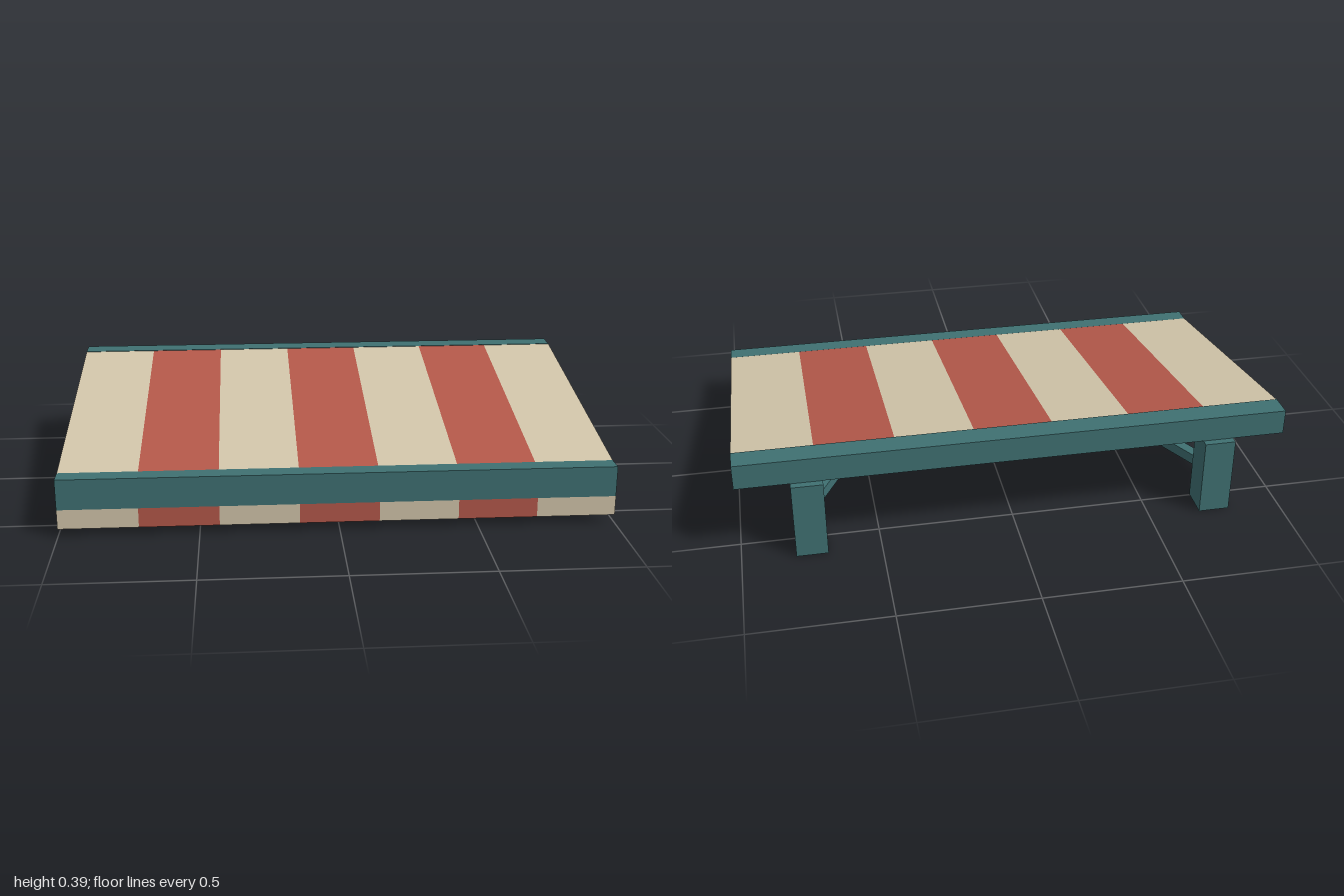
import * as THREE from 'three';

const paint = (color) => new THREE.MeshStandardMaterial({ color });

export function createModel() {
  const model = new THREE.Group();
  model.name = 'awning';
  const frame = paint(0x3f7072);
  const cream = paint(0xd2c5aa);
  const red = paint(0xb4584a);
  const brass = paint(0xa08050);

  const add = (name, geometry, material) => {
    const mesh = new THREE.Mesh(geometry, material);
    mesh.name = name;
    model.add(mesh);
    return mesh;
  };
  // Box given by its limits on each axis
  const box = (name, material, [x0, x1], [y0, y1], [z0, z1]) =>
    add(name, new THREE.BoxGeometry(x1 - x0, y1 - y0, z1 - z0), material)
      .position.set((x0 + x1) / 2, (y0 + y1) / 2, (z0 + z1) / 2);

  // Wall beam and front bar
  box('wallBeam', frame, [-1, 1], [0.293, 0.387], [-0.583, -0.495]);
  box('frontBar', frame, [-1, 1], [0.102, 0.215], [0.54, 0.61]);

  // Striped sloping canopy with a hanging valance
  const slope = new THREE.Shape([
    new THREE.Vector2(0.545, 0.196),
    new THREE.Vector2(0.545, 0.214),
    new THREE.Vector2(-0.5, 0.386),
    new THREE.Vector2(-0.5, 0.368),
  ]);
  const stripes = 7;
  const width = 2 / stripes;
  for (let i = 0; i < stripes; i++) {
    const x = -1 + i * width;
    const cloth = i % 2 ? red : cream;
    const geometry = new THREE.ExtrudeGeometry(slope, { depth: width, bevelEnabled: false });
    geometry.rotateY(-Math.PI / 2);
    add('canopyStripe', geometry, cloth).position.x = x + width;
    box('valanceStripe', cloth, [x, x + width], [0.03, 0.102], [0.591, 0.61]);
  }

  // Square bar between two points at the same height
  const bar = (name, a, b) => {
    const mesh = add(name, new THREE.BoxGeometry(0.04, 0.04, a.distanceTo(b)), frame);
    mesh.position.copy(a).lerp(b, 0.5);
    mesh.lookAt(b);
  };

  // Wall brackets and folding arms, mirrored
  for (const side of [-1, 1]) {
    const x = side * 0.75;
    box('wallBracket', frame, [x - 0.057, x + 0.057], [0, 0.293], [-0.61, -0.495]);
    const elbow = new THREE.Vector3(side * 0.48, 0.137, 0.003);
    bar('rearArm', new THREE.Vector3(x, 0.137, -0.51), elbow);
    bar('frontArm', elbow, new THREE.Vector3(x, 0.137, 0.555));
    add('elbowJoint', new THREE.BoxGeometry(0.057, 0.071, 0.057), brass).position.copy(elbow);
  }
  return model;
}
